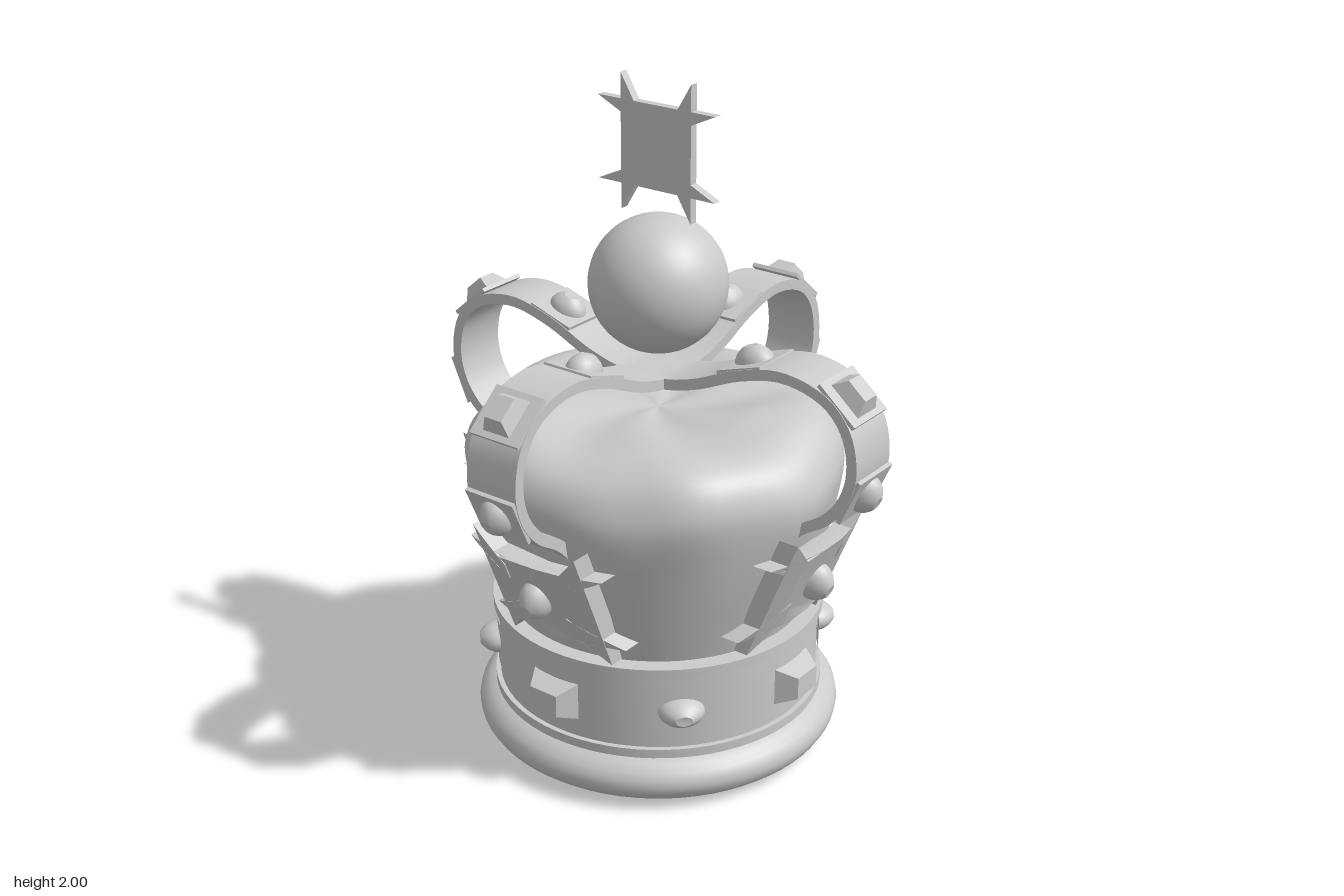
import * as THREE from 'three';
import { mergeVertices, toCreasedNormals } from 'three/addons/utils/BufferGeometryUtils.js';

const smooth = new THREE.MeshStandardMaterial({ color: 0xcccccc, side: THREE.DoubleSide });
const flat = new THREE.MeshStandardMaterial({ color: 0xcccccc, flatShading: true });
const V2 = (x, y) => new THREE.Vector2(x, y);

function add(parent, name, geometry, material = smooth) {
  const mesh = new THREE.Mesh(geometry, material);
  mesh.name = name;
  parent.add(mesh);
  return mesh;
}

// Flared cross outline from one quadrant, with each edge subdivided for bending
function crossShape(quadrant, split) {
  const q = quadrant, r = [...quadrant].reverse();
  const corners = [
    ...q, ...r.map(([x, y]) => [x, -y]),
    ...q.map(([x, y]) => [-x, -y]), ...r.map(([x, y]) => [-x, y]),
  ];
  const points = [];
  corners.forEach(([x, y], i) => {
    const [nx, ny] = corners[(i + 1) % corners.length];
    for (let k = 0; k < split; k++) points.push(V2(x + (nx - x) * k / split, y + (ny - y) * k / split));
  });
  return new THREE.Shape(points);
}

// Cut stones: unit footprint, rising along +y from 0 to 1
const squareStone = new THREE.CylinderGeometry(0.42, Math.SQRT1_2, 1, 4, 1, false, Math.PI / 4).translate(0, 0.5, 0);
const ovalStone = toCreasedNormals(new THREE.LatheGeometry(
  [V2(0.5, 0), V2(0.48, 0.3), V2(0.4, 0.62), V2(0.27, 0.88), V2(0.18, 1), V2(0, 0.96)], 24), 0.5);

// Places a stone at radius r and height y, facing along the direction (nr, ny)
function addStone(parent, oval, r, y, nr, ny, along, across, height) {
  const stone = add(parent, oval ? 'ovalGem' : 'squareGem', oval ? ovalStone : squareStone, oval ? smooth : flat);
  stone.position.set(r, y, 0);
  stone.rotation.z = Math.atan2(ny, nr) - Math.PI / 2;
  stone.scale.set(along, height, across);
  return stone;
}

// Soft cap with gentle cloth lumps
function capGeometry() {
  const curve = new THREE.SplineCurve([
    V2(0.44, 0.42), V2(0.475, 0.55), V2(0.52, 0.72), V2(0.55, 0.86), V2(0.545, 0.94), V2(0.505, 1.01),
    V2(0.43, 1.05), V2(0.32, 1.055), V2(0.2, 1.045), V2(0.1, 1.035), V2(0, 1.03),
  ]);
  const g = new THREE.LatheGeometry(curve.getPoints(44), 72);
  const p = g.attributes.position;
  for (let i = 0; i < p.count; i++) {
    const x = p.getX(i), y = p.getY(i), z = p.getZ(i);
    const a = Math.atan2(z, x), r = Math.hypot(x, z);
    const k = THREE.MathUtils.smoothstep(y, 0.5, 0.95);
    const s = 1 + k * (0.018 * Math.sin(3 * a + 1) + 0.012 * Math.sin(7 * a + 9 * y) + 0.008 * Math.sin(11 * a));
    const lift = k * Math.min(1, r / 0.3) * (0.012 * Math.sin(5 * a + 8 * r) + 0.01 * Math.cos(2 * a + 0.6));
    p.setXYZ(i, x * s, y + lift, z * s);
  }
  g.deleteAttribute('uv');
  g.deleteAttribute('normal');
  const merged = mergeVertices(g, 1e-4);
  merged.computeVertexNormals();
  return merged;
}

// Arched strap path in the radius-height plane
const archCurve = new THREE.SplineCurve([
  V2(0.5, 0.78), V2(0.555, 0.835), V2(0.635, 0.89), V2(0.69, 0.965), V2(0.71, 1.06), V2(0.685, 1.165), V2(0.61, 1.24),
  V2(0.48, 1.27), V2(0.34, 1.24), V2(0.2, 1.18), V2(0.09, 1.15), V2(0, 1.148),
]);

// Unit normal of the arch, pointing outward
function archNormal(t) {
  const d = archCurve.getTangent(t);
  return V2(d.y, -d.x);
}

function archGeometry() {
  const outer = [], inner = [];
  for (let i = 0; i <= 48; i++) {
    const c = archCurve.getPoint(i / 48), n = archNormal(i / 48);
    outer.push(c.clone().addScaledVector(n, 0.016));
    inner.unshift(c.clone().addScaledVector(n, -0.016));
  }
  const g = new THREE.ExtrudeGeometry(new THREE.Shape([...outer, ...inner]), { depth: 0.17, bevelEnabled: false });
  return toCreasedNormals(g.translate(0, 0, -0.085), 0.6);
}

// Cross plate leaning outward and wrapped around the cap
function sideCrossGeometry() {
  const shape = crossShape([[0.18, 0.2], [0.085, 0.095], [0.085, 0.045], [0.235, 0.13]].reverse(), 5);
  const g = new THREE.ExtrudeGeometry(shape, { depth: 0.06, bevelEnabled: false });
  const p = g.attributes.position;
  for (let i = 0; i < p.count; i++) {
    const u = p.getX(i), v = p.getY(i), w = p.getZ(i) - 0.06;
    p.setXYZ(i, 0.56 + 0.4 * v + w - u * u / 1.1, 0.64 + v, -u);
  }
  g.computeVertexNormals();
  return toCreasedNormals(g, 0.5);
}

export function createModel() {
  const crown = new THREE.Group();
  crown.name = 'crown';

  // Padded base roll
  const roll = add(crown, 'baseRoll', new THREE.TorusGeometry(0.43, 0.12, 24, 72));
  roll.rotation.x = Math.PI / 2;
  roll.scale.z = 0.08 / 0.12;
  roll.position.y = 0.08;

  // Band with raised rims
  const band = [
    [0.45, 0.1], [0.485, 0.1], [0.485, 0.15], [0.498, 0.15], [0.498, 0.178], [0.483, 0.178],
    [0.483, 0.412], [0.498, 0.412], [0.498, 0.442], [0.45, 0.442], [0.45, 0.1],
  ].map(([r, y]) => V2(r, y));
  add(crown, 'band', toCreasedNormals(new THREE.LatheGeometry(band, 72), 0.5));

  // Band gems on curved plates, square and oval in turn
  for (let i = 0; i < 8; i++) {
    const setting = new THREE.Group();
    setting.name = 'bandGem';
    setting.rotation.y = i * Math.PI / 4;
    const oval = i % 2 === 1;
    const half = oval ? 0.21 : 0.25;
    add(setting, 'gemPlate', new THREE.CylinderGeometry(0.489, 0.489, 0.14, 12, 1, true, Math.PI / 2 - half, half * 2)
      .translate(0, 0.298, 0));
    addStone(setting, oval, 0.483, 0.298, 1, 0, oval ? 0.085 : 0.115, oval ? 0.135 : 0.16, 0.06);
    crown.add(setting);
  }

  add(crown, 'cap', capGeometry());

  // Four sides: cross plate, arched strap and their gems
  const arch = archGeometry();
  const sideCross = sideCrossGeometry();
  for (let i = 0; i < 4; i++) {
    const side = new THREE.Group();
    side.name = 'crownSide';
    side.rotation.y = i * Math.PI / 2;
    add(side, 'sideCross', sideCross);
    addStone(side, true, 0.555, 0.64, 1, -0.4, 0.12, 0.095, 0.055);
    add(side, 'arch', arch);
    // Gems on thin plates along the strap
    for (const [t, oval] of [[3 / 11, true], [5.65 / 11, false], [8 / 11, true]]) {
      const c = archCurve.getPoint(t), n = archNormal(t);
      const base = c.clone().addScaledVector(n, 0.014);
      addStone(side, oval, base.x, base.y, n.x, n.y, 0.12, 0.095, 0.048);
      const plate = add(side, 'strapPlate', new THREE.BoxGeometry(0.15, 0.012, 0.165), flat);
      plate.position.set(base.x, base.y, 0);
      plate.rotation.z = Math.atan2(n.y, n.x) - Math.PI / 2;
    }
    crown.add(side);
  }

  // Orb and top cross
  add(crown, 'orb', new THREE.SphereGeometry(0.2, 48, 32)).position.y = 1.41;
  const topShape = crossShape([[0.2, 0.12], [0.06, 0.055], [0.035, 0.055], [0.12, 0.195]], 1);
  add(crown, 'topCross', new THREE.ExtrudeGeometry(topShape, { depth: 0.026, bevelEnabled: false })
    .translate(0, 1.805, -0.013), flat);

  return crown;
}
